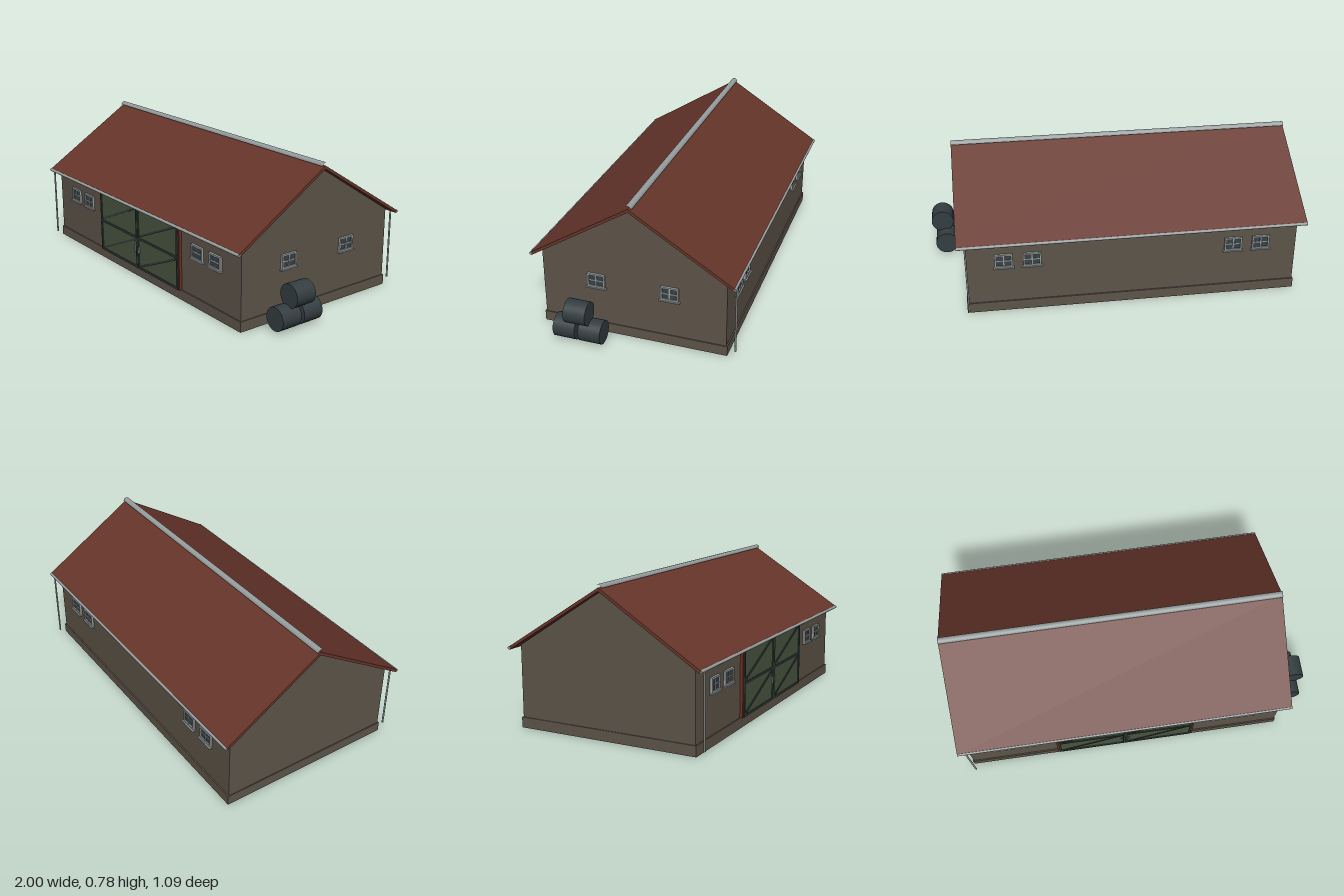
import * as THREE from 'three';

const mat = (name, color) => {
  const m = new THREE.MeshStandardMaterial({ color });
  m.name = name;
  return m;
};
const M = {
  wall: mat('brown wall', 0x5d5448),
  roof: mat('red roof', 0x66352a),
  jamb: mat('red jamb', 0x6e2f22),
  door: mat('green door', 0x47543f),
  trim: mat('dark door trim', 0x333d38),
  frame: mat('light grey metal', 0x989e9e),
  glass: mat('dark glass', 0x384246),
  barrel: mat('dark barrel', 0x333d40),
};
const CX = -0.08; // centre of the building along x

function add(parent, name, geo, material, x = 0, y = 0, z = 0) {
  const mesh = new THREE.Mesh(geo, material);
  mesh.name = name;
  mesh.position.set(x, y, z);
  parent.add(mesh);
  return mesh;
}
const box = (w, h, d) => new THREE.BoxGeometry(w, h, d);

// Extrude a [z, y] outline along x, centred on x = 0
function extrudeX(points, length) {
  const shape = new THREE.Shape(points.map(p => new THREE.Vector2(p[0], p[1])));
  const geo = new THREE.ExtrudeGeometry(shape, { depth: length, bevelEnabled: false });
  return geo.translate(0, 0, -length / 2).rotateY(Math.PI / 2);
}

// Four-pane window facing +z, its back on z = 0
function makeWindow() {
  const g = new THREE.Group();
  g.name = 'window';
  const w = 0.094, h = 0.076, t = 0.009;
  add(g, 'pane', box(w - t, h - t, 0.006), M.glass, 0, 0, 0.003);
  for (const s of [-1, 1]) {
    add(g, 'frameSide', box(t, h, 0.013), M.frame, s * (w - t) / 2, 0, 0.0065);
    add(g, 'frameRail', box(w - 2 * t, t, 0.013), M.frame, 0, s * (h - t) / 2, 0.0065);
  }
  add(g, 'mullion', box(0.006, h - 2 * t, 0.01), M.frame, 0, 0, 0.005);
  add(g, 'crossBar', box(w - 2 * t, 0.006, 0.009), M.frame, 0, 0, 0.0045);
  add(g, 'sill', box(0.108, 0.006, 0.02), M.frame, 0, -h / 2 - 0.003, 0.01);
  return g;
}

// Door leaf with rails, stiles and two diagonal braces
function makeDoor(handleSide) {
  const g = new THREE.Group();
  g.name = 'barnDoor';
  const w = 0.38, h = 0.355, t = 0.011;
  add(g, 'doorPanel', box(w, h, 0.014), M.door, 0, 0, 0.007);
  for (const s of [-1, 1]) add(g, 'stile', box(t, h, 0.007), M.trim, s * (w - t) / 2, 0, 0.0165);
  for (const s of [-1, 0, 1]) add(g, 'rail', box(w - 2 * t, t, 0.007), M.trim, 0, s * (h - t) / 2, 0.0165);
  const bw = w - 2 * t, bh = h / 2 - 2 * t;
  for (const s of [-1, 1]) {
    const brace = add(g, 'brace', box(Math.hypot(bw, bh) - 0.01, t, 0.005), M.trim, 0, s * h / 4, 0.0155);
    brace.rotation.z = Math.atan2(bh, bw);
  }
  add(g, 'handle', box(0.006, 0.038, 0.006), M.frame, handleSide * 0.17, -0.065, 0.0195);
  return g;
}

export function createModel() {
  const model = new THREE.Group();
  model.name = 'barn';

  // Walls and plinth
  add(model, 'walls', extrudeX([[-0.49, 0.03], [0.49, 0.03], [0.49, 0.431], [0, 0.742], [-0.49, 0.431]], 1.764), M.wall, CX);
  add(model, 'plinth', box(1.774, 0.055, 0.994), M.wall, CX, 0.0275);

  // Roof slabs, ridge cap and gutters
  add(model, 'roof', extrudeX([[0, 0.76], [-0.54, 0.421], [-0.532, 0.408], [0, 0.742], [0.532, 0.408], [0.54, 0.421]], 1.843), M.roof, CX);
  const cap = new THREE.CylinderGeometry(0.018, 0.018, 1.843, 12, 1, true, 0, Math.PI).rotateZ(Math.PI / 2);
  add(model, 'ridgeCap', cap, M.frame, CX, 0.758);
  const gutter = new THREE.CylinderGeometry(0.008, 0.008, 1.843, 10).rotateZ(Math.PI / 2);
  const pipe = new THREE.CylinderGeometry(0.005, 0.005, 0.388, 10);
  for (const s of [-1, 1]) {
    add(model, 'gutter', gutter, M.frame, CX, 0.417, s * 0.536);
    add(model, 'downpipe', pipe, M.frame, CX - s * 0.877, 0.224, s * 0.536);
  }

  // Double door with red jambs
  for (const s of [-1, 1]) {
    const door = makeDoor(-s);
    door.position.set(CX + s * 0.1915, 0.2325, 0.492);
    model.add(door);
    add(model, 'doorJamb', box(0.009, 0.358, 0.018), M.jamb, CX + s * 0.387, 0.232, 0.497);
  }

  // Windows on both long sides and the left gable
  const place = (x, z, turn) => {
    const win = makeWindow();
    win.position.set(x, 0.304, z);
    win.rotation.y = turn;
    model.add(win);
  };
  for (const dx of [-0.685, -0.535, 0.536, 0.684]) {
    place(CX + dx, 0.49, 0);
    place(CX + dx, -0.49, Math.PI);
  }
  for (const z of [-0.196, 0.196]) place(CX + 0.882, z, Math.PI / 2);

  // Stacked barrels
  const barrel = new THREE.CylinderGeometry(0.062, 0.062, 0.118, 32).rotateX(Math.PI / 2);
  for (const [x, y, z] of [[0.914, 0.075, 0.314], [0.914, 0.075, 0.177], [0.933, 0.184, 0.244]]) {
    add(model, 'barrel', barrel, M.barrel, x, y, z);
  }
  return model;
}
